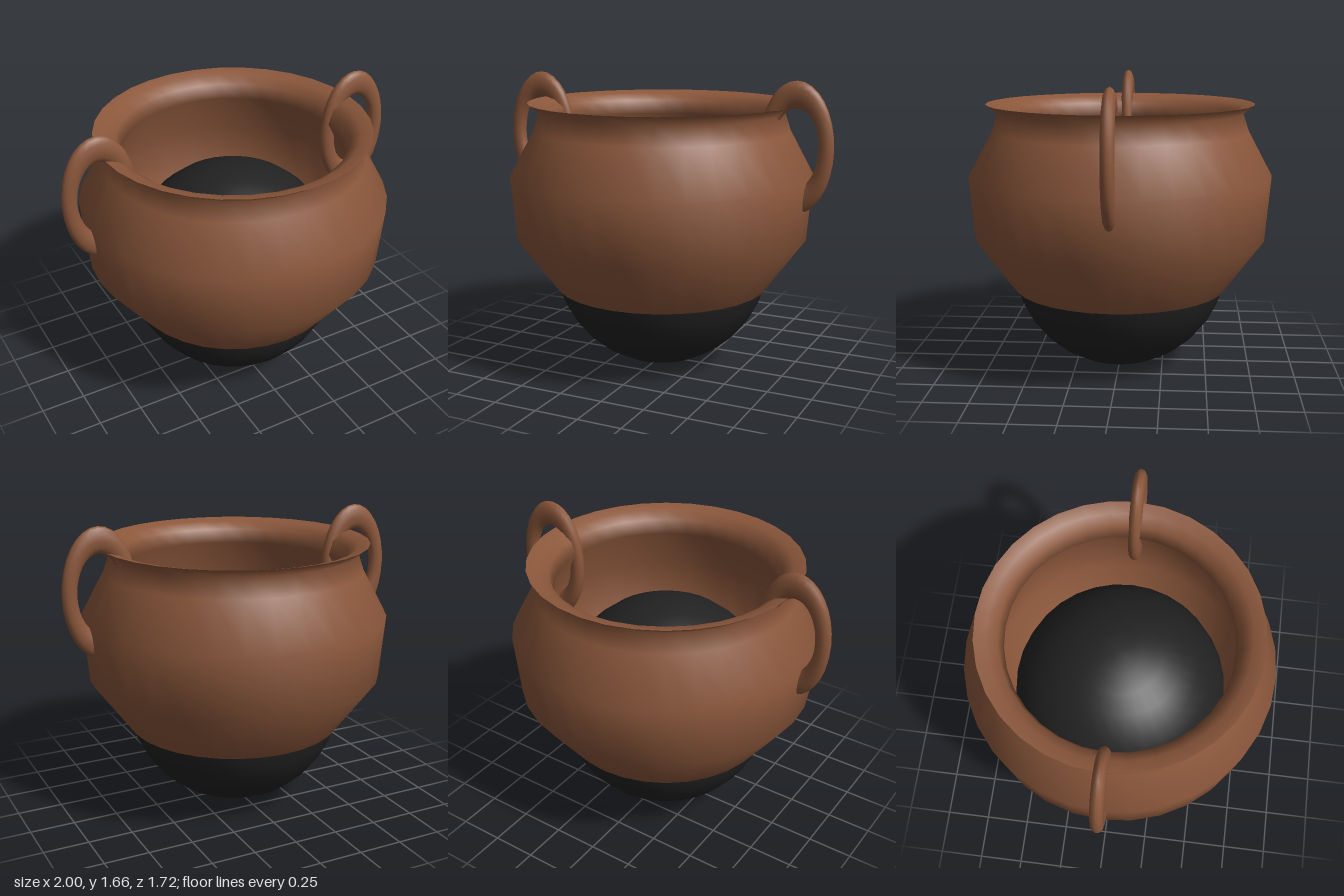
import * as THREE from 'three';

const SEGMENTS = 32;

export function createModel() {
  const clay = new THREE.MeshStandardMaterial({ color: 0x8b573b });
  clay.name = 'brown clay';
  const black = new THREE.MeshStandardMaterial({ color: 0x222222 });
  black.name = 'black base';

  const pot = new THREE.Group();
  pot.name = 'pot';
  const add = (name, geometry, material) => {
    const mesh = new THREE.Mesh(geometry, material);
    mesh.name = name;
    pot.add(mesh);
    return mesh;
  };
  const lathe = (points) =>
    new THREE.LatheGeometry(points.map(([r, y]) => new THREE.Vector2(r, y)), SEGMENTS);

  // Outer wall, foot to flared rim; profiles running upward face outward
  add('outerWall', lathe([
    [0.61, 0.46], [0.83, 0.76], [0.86, 1.11], [0.725, 1.36], [0.69, 1.465], [0.755, 1.515],
  ]), clay);

  // Rounded lip rolling into the mouth, then the inner wall down to the foot
  add('lipAndInnerWall', lathe([
    [0.755, 1.515], [0.69, 1.5], [0.635, 1.46], [0.61, 1.38],
    [0.76, 1.11], [0.74, 0.78], [0.58, 0.48],
  ]), clay);

  // Narrow underside of the wall
  add('footRing', lathe([[0.58, 0.48], [0.61, 0.46]]), clay);

  // Round base, a full ball that also shows inside the mouth
  add('base', new THREE.SphereGeometry(0.62, 32, 16), black).position.y = 0.62;

  // Oval ring handles passing through the wall and rim
  const ring = new THREE.TorusGeometry(0.1675, 0.0425, 12, 32);
  for (const [name, side] of [['leftHandle', 1], ['rightHandle', -1]]) {
    const handle = add(name, ring, clay);
    handle.position.set(side * 0.79, 1.3, 0);
    handle.scale.set(1, 1.71, 0.83);
  }
  return pot;
}
